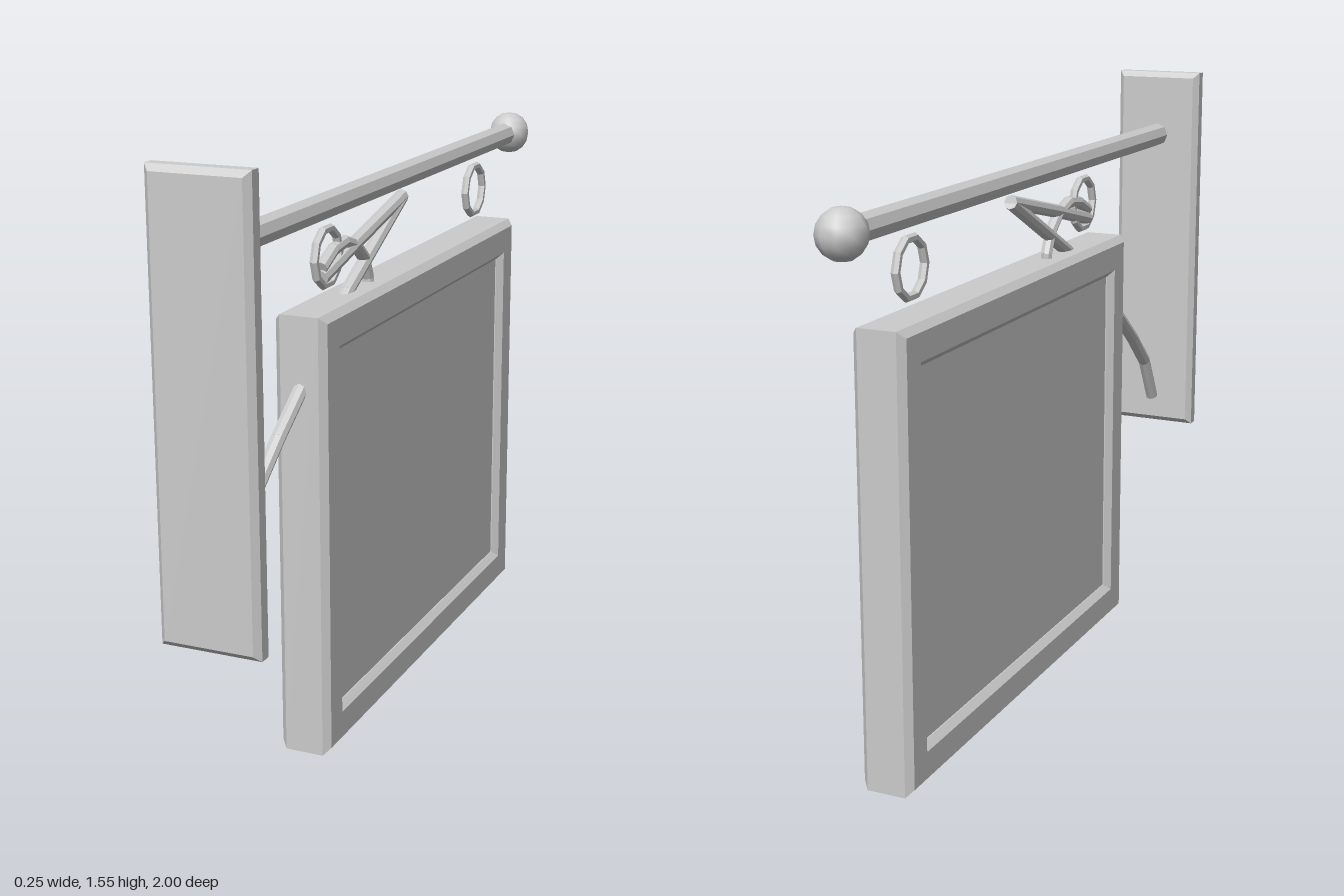
import * as THREE from 'three';

const smooth = new THREE.MeshStandardMaterial({ color: 0xcccccc });
const flat = new THREE.MeshStandardMaterial({ color: 0xcccccc, flatShading: true });

function rectangle(path, w, h) {
  return path.moveTo(-w / 2, -h / 2).lineTo(w / 2, -h / 2).lineTo(w / 2, h / 2).lineTo(-w / 2, h / 2).closePath();
}

// Chamfered slab, centred, w by h with thickness t; optional window through it
function slab(w, h, t, bevel, hole) {
  const shape = rectangle(new THREE.Shape(), w, h);
  if (hole) shape.holes.push(rectangle(new THREE.Path(), hole[0], hole[1]));
  const geo = new THREE.ExtrudeGeometry(shape, {
    depth: t - 2 * bevel, bevelEnabled: true, bevelSegments: 1,
    bevelThickness: bevel, bevelSize: bevel, bevelOffset: -bevel,
  });
  return geo.translate(0, 0, -(t - 2 * bevel) / 2);
}

export function createModel() {
  const group = new THREE.Group();
  const add = (name, geo, x, y, z, mat = flat) => {
    const mesh = new THREE.Mesh(geo, mat);
    mesh.name = name;
    mesh.position.set(x, y, z);
    group.add(mesh);
    return mesh;
  };

  // Wall plate, rod and end ball
  add('wallPlate', slab(0.25, 1.08, 0.06, 0.015), 0, 1.01, 0.97);
  add('rod', new THREE.CylinderGeometry(0.033, 0.033, 1.86, 8).rotateX(Math.PI / 2), 0, 1.365, 0.02);
  add('endBall', new THREE.SphereGeometry(0.06, 10, 8), 0, 1.365, -0.94, smooth);

  // Hanging board: chamfered frame around a panel sunk on both sides
  add('boardFrame', slab(1.33, 1.125, 0.134, 0.017, [1.13, 0.92]).rotateY(Math.PI / 2), 0, 0.5675, -0.14);
  add('boardPanel', new THREE.BoxGeometry(0.094, 0.94, 1.15), 0, 0.5675, -0.14);

  // Hanging rings
  for (const z of [0.365, -0.64]) {
    add('hangingRing', new THREE.TorusGeometry(0.07, 0.011, 6, 10).rotateY(Math.PI / 2), 0, 1.24, z);
  }

  // Wrought bars: straight pieces joined along [z, y] points
  const bars = (name, points, r) => {
    const part = new THREE.Group();
    part.name = name;
    for (let i = 1; i < points.length; i++) {
      const a = new THREE.Vector3(0, points[i - 1][1], points[i - 1][0]);
      const b = new THREE.Vector3(0, points[i][1], points[i][0]);
      const dir = b.clone().sub(a);
      const mesh = new THREE.Mesh(new THREE.CylinderGeometry(r, r, dir.length() + 0.006, 8), flat);
      mesh.name = name + 'Segment';
      mesh.position.copy(a).add(b).multiplyScalar(0.5);
      mesh.quaternion.setFromUnitVectors(new THREE.Vector3(0, 1, 0), dir.normalize());
      part.add(mesh);
    }
    group.add(part);
  };

  // Curved brace from the plate, through the board, up to the tip
  bars('brace', [[0.935, 0.555], [0.865, 0.68], [0.76, 0.775], [0.64, 0.867], [0.5, 0.962],
    [0.25, 1.13], [-0.1, 1.308]], 0.018);
  // Return bar from the tip and the scroll curling down to the board
  bars('scrollReturn', [[-0.1, 1.31], [0.19, 1.244], [0.393, 1.195]], 0.018);
  bars('scrollCurl', [[0.393, 1.22], [0.33, 1.25], [0.265, 1.258], [0.195, 1.236], [0.145, 1.195],
    [0.12, 1.14], [0.12, 1.1]], 0.016);

  return group;
}
